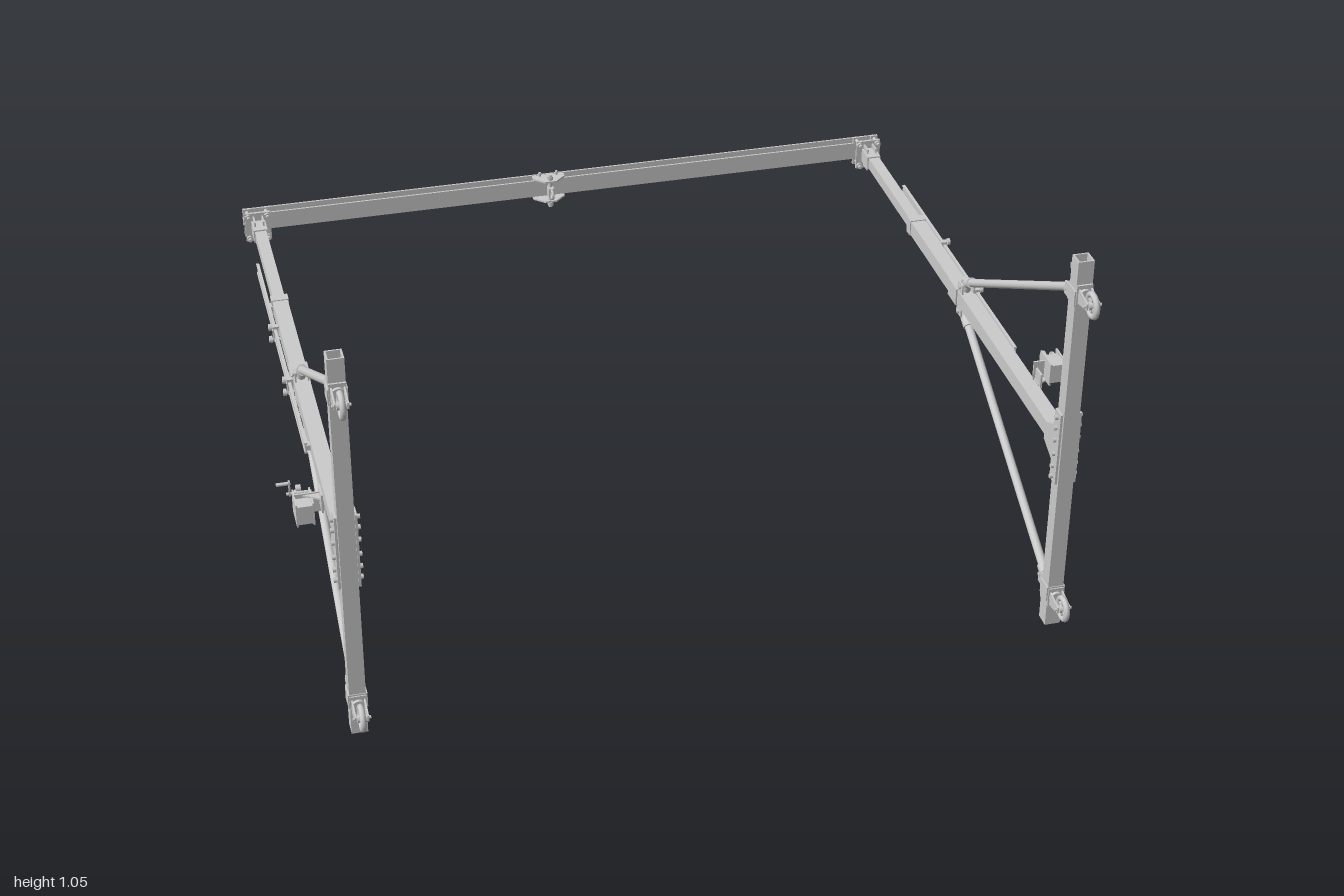
import * as THREE from 'three';

const grey = new THREE.MeshStandardMaterial({ color: 0xcccccc, side: THREE.DoubleSide });

function add(parent, name, geo, x = 0, y = 0, z = 0) {
  const m = new THREE.Mesh(geo, grey);
  m.name = name;
  m.position.set(x, y, z);
  parent.add(m);
  return m;
}
const box = (p, n, w, h, d, x, y, z) => add(p, n, new THREE.BoxGeometry(w, h, d), x, y, z);

// Cylinder whose axis runs along x, y or z
function rod(p, n, axis, r, len, x, y, z, seg = 20) {
  const g = new THREE.CylinderGeometry(r, r, len, seg);
  if (axis === 'x') g.rotateZ(Math.PI / 2);
  if (axis === 'z') g.rotateX(Math.PI / 2);
  return add(p, n, g, x, y, z);
}

// Cylinder between two points
function strut(p, n, r, a, b) {
  const d = b.clone().sub(a);
  const m = add(p, n, new THREE.CylinderGeometry(r, r, d.length(), 16));
  m.position.copy(a).addScaledVector(d, 0.5);
  m.quaternion.setFromUnitVectors(new THREE.Vector3(0, 1, 0), d.normalize());
  return m;
}

function extrude(points, depth) {
  const s = new THREE.Shape(points.map(([x, y]) => new THREE.Vector2(x, y)));
  return new THREE.ExtrudeGeometry(s, { depth, bevelEnabled: false });
}

// Hollow square tube along z, starting at z = 0
function squareTube(size, wall, len) {
  const r = size / 2, i = r - wall;
  const s = new THREE.Shape([[-r, -r], [r, -r], [r, r], [-r, r]].map(q => new THREE.Vector2(...q)));
  s.holes.push(new THREE.Path([[-i, -i], [-i, i], [i, i], [i, -i]].map(q => new THREE.Vector2(...q))));
  return new THREE.ExtrudeGeometry(s, { depth: len, bevelEnabled: false });
}

// Flat plate facing x, outlined in (z, y)
function sidePlate(p, n, points, t, x) {
  const g = extrude(points.map(([z, y]) => [-z, y]), t);
  g.rotateY(Math.PI / 2);
  return add(p, n, g, x - t / 2, 0, 0);
}

function caster() {
  const g = new THREE.Group();
  g.name = 'caster';
  const tyre = add(g, 'tyre', new THREE.TorusGeometry(0.027, 0.0075, 10, 32), 0, 0, 0.826);
  tyre.rotation.y = Math.PI / 2;
  rod(g, 'hub', 'x', 0.01, 0.022, 0, 0, 0.826);
  rod(g, 'axle', 'x', 0.004, 0.044, 0, 0, 0.826, 10);
  for (let i = 0; i < 3; i++) {
    const s = box(g, 'spoke', 0.008, 0.05, 0.007, 0, 0, 0.826);
    s.rotation.x = i * Math.PI / 3;
  }
  for (const s of [-1, 1]) {
    sidePlate(g, 'fork', [[0.78, -0.019], [0.832, -0.008], [0.832, 0.008], [0.78, 0.019]], 0.004, s * 0.015);
  }
  rod(g, 'swivel', 'z', 0.017, 0.008, 0, 0, 0.781);
  box(g, 'mountPlate', 0.04, 0.052, 0.006, 0, 0, 0.774);
  return g;
}

function winch() {
  const g = new THREE.Group();
  g.name = 'winch';
  // Bracket carrying the winch off the mast
  box(g, 'bracketPlate', 0.07, 0.055, 0.005, 0.05, 0.045, 0.482);
  const gusset = add(g, 'bracketGusset', extrude([[0.018, -0.515], [0.065, -0.485], [0.018, -0.485]], 0.005), 0, 0.02, 0);
  gusset.rotation.x = -Math.PI / 2;
  box(g, 'bracketFoot', 0.005, 0.05, 0.05, 0.023, 0.03, 0.495);
  // Drum between two cheeks
  for (const x of [0.045, 0.085]) box(g, 'cheek', 0.004, 0.062, 0.07, x, 0.053, 0.488);
  rod(g, 'drum', 'x', 0.014, 0.04, 0.065, 0.06, 0.465);
  rod(g, 'drumFlange', 'x', 0.025, 0.004, 0.052, 0.056, 0.458);
  rod(g, 'gear', 'x', 0.022, 0.005, 0.078, 0.05, 0.453, 24);
  rod(g, 'pinion', 'x', 0.009, 0.012, 0.07, 0.026, 0.445, 14);
  box(g, 'cover', 0.042, 0.05, 0.04, 0.065, 0.054, 0.502);
  // Crank handle
  rod(g, 'crankShaft', 'x', 0.004, 0.06, 0.07, 0.03, 0.458, 10);
  box(g, 'crankArm', 0.004, 0.04, 0.01, 0.092, 0.014, 0.458);
  rod(g, 'crankGrip', 'x', 0.0045, 0.034, 0.106, 0, 0.458, 12);
  return g;
}

// One side frame, centred on its own mast axis
function sideFrame() {
  const g = new THREE.Group();
  g.name = 'sideFrame';

  // Base post
  const post = add(g, 'basePost', squareTube(0.04, 0.004, 1.05), 0, 0.525, 0.752);
  post.rotation.x = Math.PI / 2;

  // Telescoping mast
  add(g, 'mastOuterTube', squareTube(0.04, 0.004, 1.11), 0, 0, -0.38);
  add(g, 'mastInnerTube', squareTube(0.031, 0.003, 0.46), 0, 0, -0.80);
  box(g, 'mastCollar', 0.045, 0.045, 0.028, 0, 0, -0.368);
  box(g, 'braceCollar', 0.048, 0.048, 0.06, 0, 0, -0.005);

  // Joint plates between post and mast
  for (const s of [-1, 1]) {
    box(g, 'jointPlate', 0.006, 0.2, 0.036, s * 0.024, 0, 0.75);
    sidePlate(g, 'jointCheek', [[0.735, -0.1], [0.735, 0.1], [0.73, 0.05], [0.675, 0.024], [0.675, -0.024], [0.73, -0.05]], 0.005, s * 0.023);
    sidePlate(g, 'jointGusset', [[0.733, s * 0.02], [0.733, s * 0.055], [0.675, s * 0.02]], 0.012, 0);
    for (const y of [-0.085, -0.055, -0.02, 0.02, 0.055, 0.085])
      rod(g, 'jointBolt', 'x', 0.006, 0.012, s * 0.029, y, 0.75, 6);
  }

  for (const s of [-1, 1]) {
    // Diagonal brace with eye brackets at both ends
    const a = new THREE.Vector3(0, s * 0.417, 0.70), b = new THREE.Vector3(0, s * 0.052, 0.045);
    strut(g, 'brace', 0.011, a, b);
    strut(g, 'braceSocket', 0.0145, b, b.clone().lerp(a, 0.04));
    strut(g, 'braceSocket', 0.0145, a, a.clone().lerp(b, 0.03));
    strut(g, 'braceLink', 0.011, a, new THREE.Vector3(0, s * 0.422, 0.725));
    strut(g, 'braceLink', 0.011, b, new THREE.Vector3(0, s * 0.026, 0.035));
    rod(g, 'bracePin', 'x', 0.006, 0.038, 0, s * 0.417, 0.703, 12);
    rod(g, 'bracePin', 'x', 0.006, 0.044, 0, s * 0.037, 0.035, 12);
    for (const x of [-0.016, 0.016]) {
      box(g, 'braceLug', 0.004, 0.034, 0.034, x, s * 0.42, 0.717);
      box(g, 'braceLug', 0.004, 0.026, 0.034, x, s * 0.034, 0.035);
    }
    rod(g, 'lockPin', 'y', 0.005, 0.02, 0, s * 0.033, 0.008, 10);
    rod(g, 'lockPinHead', 'y', 0.011, 0.005, 0, s * 0.03, 0.008, 12);

    // Wheel and levelling foot at each post end
    const c = caster();
    c.position.y = s * 0.438;
    g.add(c);
    box(g, 'casterClamp', 0.047, 0.04, 0.044, 0, s * 0.428, 0.752);
    box(g, 'endLug', 0.018, 0.016, 0.02, 0, s * 0.48, 0.722);
    rod(g, 'endLugEye', 'x', 0.01, 0.018, 0, s * 0.48, 0.71, 16);
  }

  // Outer guide rail with its clamps
  box(g, 'railWeb', 0.004, 0.026, 0.89, 0.031, 0, -0.125);
  for (const s of [-1, 1]) box(g, 'railLip', 0.008, 0.004, 0.89, 0.031, s * 0.013, -0.125);
  for (const z of [-0.23, 0.03]) {
    box(g, 'railClamp', 0.014, 0.044, 0.016, 0.03, 0, z);
    for (const s of [-1, 1]) {
      rod(g, 'clampStud', 'x', 0.004, 0.03, 0.033, s * 0.018, z, 10);
      rod(g, 'clampKnob', 'x', 0.0095, 0.008, 0.043, s * 0.018, z, 14);
    }
  }
  for (const z of [-0.36, 0.31]) box(g, 'railSpacer', 0.012, 0.014, 0.02, 0.024, 0, z);

  // Beam seat with bolts and clamps
  add(g, 'headSleeve', squareTube(0.038, 0.004, 0.055), 0, 0, -0.797);
  box(g, 'headPlate', 0.07, 0.085, 0.007, 0, 0, -0.8);
  for (const x of [-0.026, 0.026]) for (const y of [-0.033, 0.033]) {
    rod(g, 'headBolt', 'z', 0.005, 0.055, x, y, -0.808, 10);
    rod(g, 'headNut', 'z', 0.009, 0.008, x, y, -0.793, 6);
    box(g, 'beamClamp', 0.02, 0.025, 0.007, x, y * 0.9, -0.828);
  }
  for (const x of [-0.012, 0.012]) for (const s of [-1, 1])
    box(g, 'headGusset', 0.004, 0.016, 0.035, x, s * 0.025, -0.779);

  g.add(winch());
  return g;
}

function trolley() {
  const g = new THREE.Group();
  g.name = 'trolley';
  for (const s of [-1, 1]) {
    // Side plates straddling the beam, each with two wheels
    const pts = [[-0.045, 0.84], [0.045, 0.84], [0.045, 0.822], [0.016, 0.795], [-0.016, 0.795], [-0.045, 0.822]];
    const plate = add(g, 'trolleyPlate', extrude(pts, 0.005), 0, s * 0.031 + 0.0025, 0);
    plate.geometry.rotateX(-Math.PI / 2);
    plate.geometry.translate(0, -0.005, 0);
    for (const x of [-0.024, 0.024]) {
      rod(g, 'trolleyWheel', 'y', 0.011, 0.012, x, s * 0.018, -0.838);
      rod(g, 'trolleyAxle', 'y', 0.004, 0.026, x, s * 0.031, -0.834, 10);
    }
    rod(g, 'crossNut', 'y', 0.009, 0.01, 0, s * 0.041, -0.805, 6);
  }
  rod(g, 'crossBar', 'y', 0.006, 0.1, 0, 0, -0.805, 12);
  box(g, 'hanger', 0.016, 0.026, 0.022, 0, 0, -0.8);
  const eye = add(g, 'liftingEye', new THREE.TorusGeometry(0.0115, 0.004, 8, 24), 0, 0, -0.78);
  eye.rotation.y = Math.PI / 2;
  return g;
}

export function createModel() {
  const root = new THREE.Group();
  root.name = 'gantryFrame';
  const body = new THREE.Group();
  body.name = 'gantry';
  body.position.y = 0.525;
  root.add(body);

  // I-section cross beam
  const f = 0.025, w = 0.003, o = -0.862, i = -0.824, t = 0.005;
  const section = [[o, -f], [o + t, -f], [o + t, -w], [i - t, -w], [i - t, -f], [i, -f],
    [i, f], [i - t, f], [i - t, w], [o + t, w], [o + t, f], [o, f]];
  sidePlate(body, 'crossBeam', section, 1.825, 0);

  // The second side frame is the first turned half a turn about z
  for (const s of [1, -1]) {
    const frame = sideFrame();
    frame.position.x = s * 0.877;
    if (s < 0) frame.rotation.z = Math.PI;
    body.add(frame);
  }

  const tr = trolley();
  tr.position.x = -0.055;
  body.add(tr);
  return root;
}
